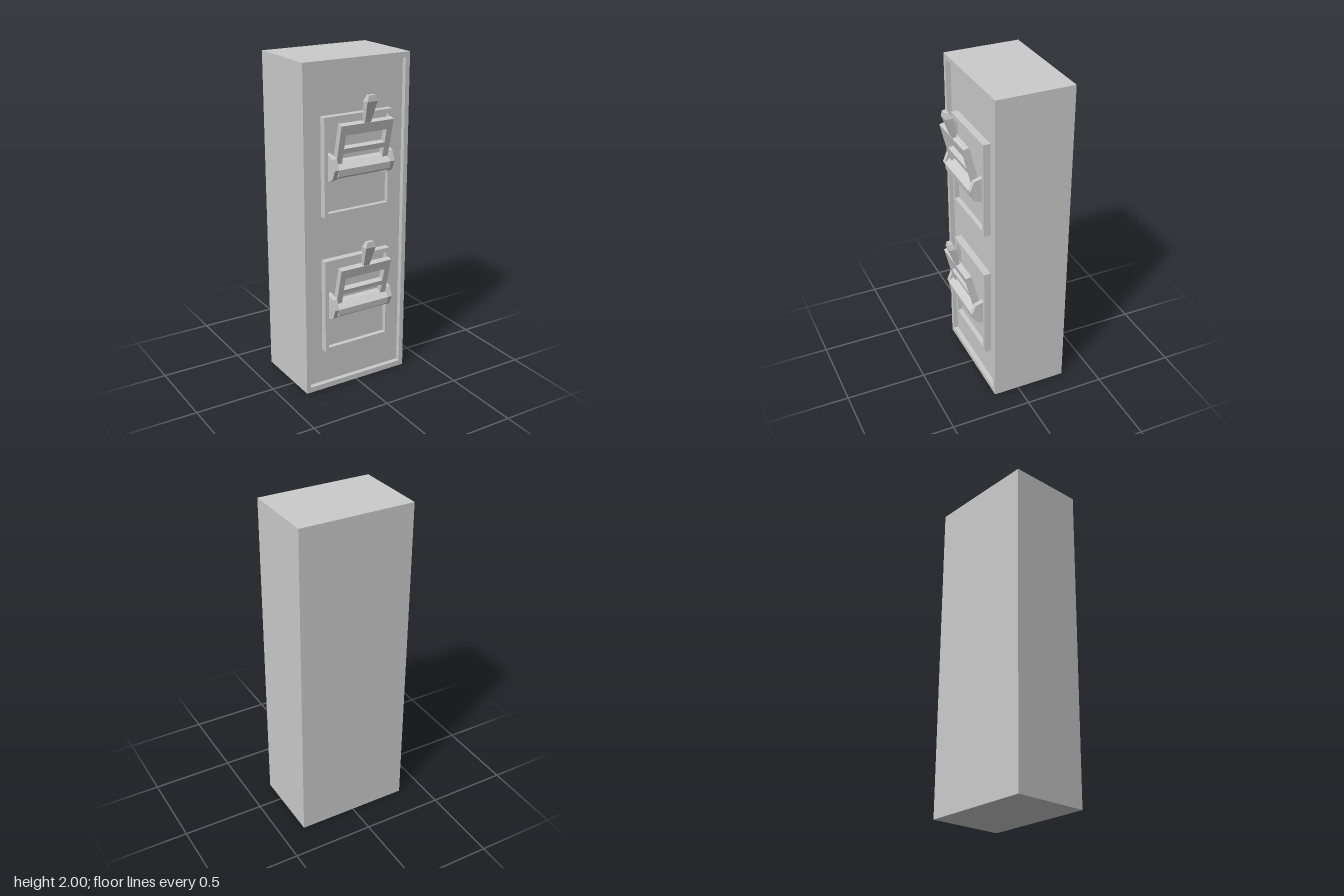
import * as THREE from 'three';

const material = new THREE.MeshStandardMaterial({ color: 0xcccccc, flatShading: true });

function add(parent, name, geometry) {
  const mesh = new THREE.Mesh(geometry, material);
  mesh.name = name;
  parent.add(mesh);
  return mesh;
}

function box(parent, name, x0, x1, y0, y1, z0, z1) {
  const mesh = add(parent, name, new THREE.BoxGeometry(x1 - x0, y1 - y0, z1 - z0));
  mesh.position.set((x0 + x1) / 2, (y0 + y1) / 2, (z0 + z1) / 2);
  return mesh;
}

// Path of a rectangle symmetric about x = 0
function rect(half, y0, y1) {
  return [[-half, y0], [half, y0], [half, y1], [-half, y1]].map(p => new THREE.Vector2(...p));
}

// Front-facing slab with rectangular holes, from z0 to z1
function slab(parent, name, outer, holes, z0, z1) {
  const shape = new THREE.Shape(outer);
  holes.forEach(h => shape.holes.push(new THREE.Path(h)));
  const g = new THREE.ExtrudeGeometry(shape, { depth: z1 - z0, bevelEnabled: false });
  g.translate(0, 0, z0);
  return add(parent, name, g);
}

// Side profile of [z, y] points, extruded across from x0 to x1
function sideProfile(parent, name, points, x0, x1) {
  const shape = new THREE.Shape(points.map(([z, y]) => new THREE.Vector2(-z, y)));
  const g = new THREE.ExtrudeGeometry(shape, { depth: x1 - x0, bevelEnabled: false });
  g.rotateY(Math.PI / 2);
  g.translate(x0, 0, 0);
  return add(parent, name, g);
}

// Flared grip: three rectangular sections [y, halfWidth, zBack, zFront]
function gripGeometry() {
  const sections = [[1.64, 0.018, 0.235, 0.258], [1.78, 0.033, 0.264, 0.307], [1.815, 0.022, 0.281, 0.304]];
  const g = new THREE.BoxGeometry(2, 2, 2, 1, 2, 1);
  const p = g.attributes.position;
  for (let i = 0; i < p.count; i++) {
    const [y, w, back, front] = sections[Math.round(p.getY(i)) + 1];
    p.setXYZ(i, p.getX(i) * w, y, p.getZ(i) > 0 ? front : back);
  }
  g.computeVertexNormals();
  return g;
}

function createSwitch(name) {
  const unit = new THREE.Group();
  unit.name = name;

  // Mounting plate with raised rim
  slab(unit, 'plateRim', rect(0.225, 1.105, 1.69), [rect(0.202, 1.13, 1.662)], 0.12, 0.171);
  box(unit, 'platePanel', -0.21, 0.21, 1.12, 1.67, 0.12, 0.142);

  // Hinge brackets on both sides
  const bracket = [[0.14, 1.315], [0.172, 1.32], [0.216, 1.342], [0.24, 1.4], [0.216, 1.46], [0.172, 1.472], [0.14, 1.478]];
  sideProfile(unit, 'leftBracket', bracket, 0.172, 0.2);
  sideProfile(unit, 'rightBracket', bracket, -0.2, -0.172);

  // Crossbar between the brackets
  sideProfile(unit, 'crossbar', [[0.175, 1.36], [0.216, 1.345], [0.235, 1.36], [0.24, 1.4], [0.2, 1.435], [0.175, 1.445]], -0.172, 0.172);

  // Tilted lever frame: two legs, a top bar and a middle bar
  const frame = new THREE.Group();
  frame.name = 'leverFrame';
  frame.position.set(0, 1.41, 0.187);
  frame.rotation.x = 0.24;
  const outline = [[-0.172, 0], [-0.135, 0], [-0.135, 0.082], [0.135, 0.082], [0.135, 0],
    [0.172, 0], [0.172, 0.256], [-0.172, 0.256]].map(p => new THREE.Vector2(...p));
  slab(frame, 'leverPlate', outline, [rect(0.135, 0.113, 0.196)], -0.018, 0.018);
  unit.add(frame);

  add(unit, 'grip', gripGeometry());
  return unit;
}

export function createModel() {
  const model = new THREE.Group();
  model.name = 'switchCabinet';

  // Cabinet with recessed front
  box(model, 'cabinetBody', -0.35, 0.35, 0, 2, -0.309, 0.128);
  slab(model, 'cabinetRim', rect(0.35, 0, 2), [rect(0.322, 0.034, 1.968)], 0.128, 0.158);

  // Two identical lever switches
  model.add(createSwitch('upperSwitch'));
  const lower = createSwitch('lowerSwitch');
  lower.position.y = -0.853;
  model.add(lower);
  return model;
}
